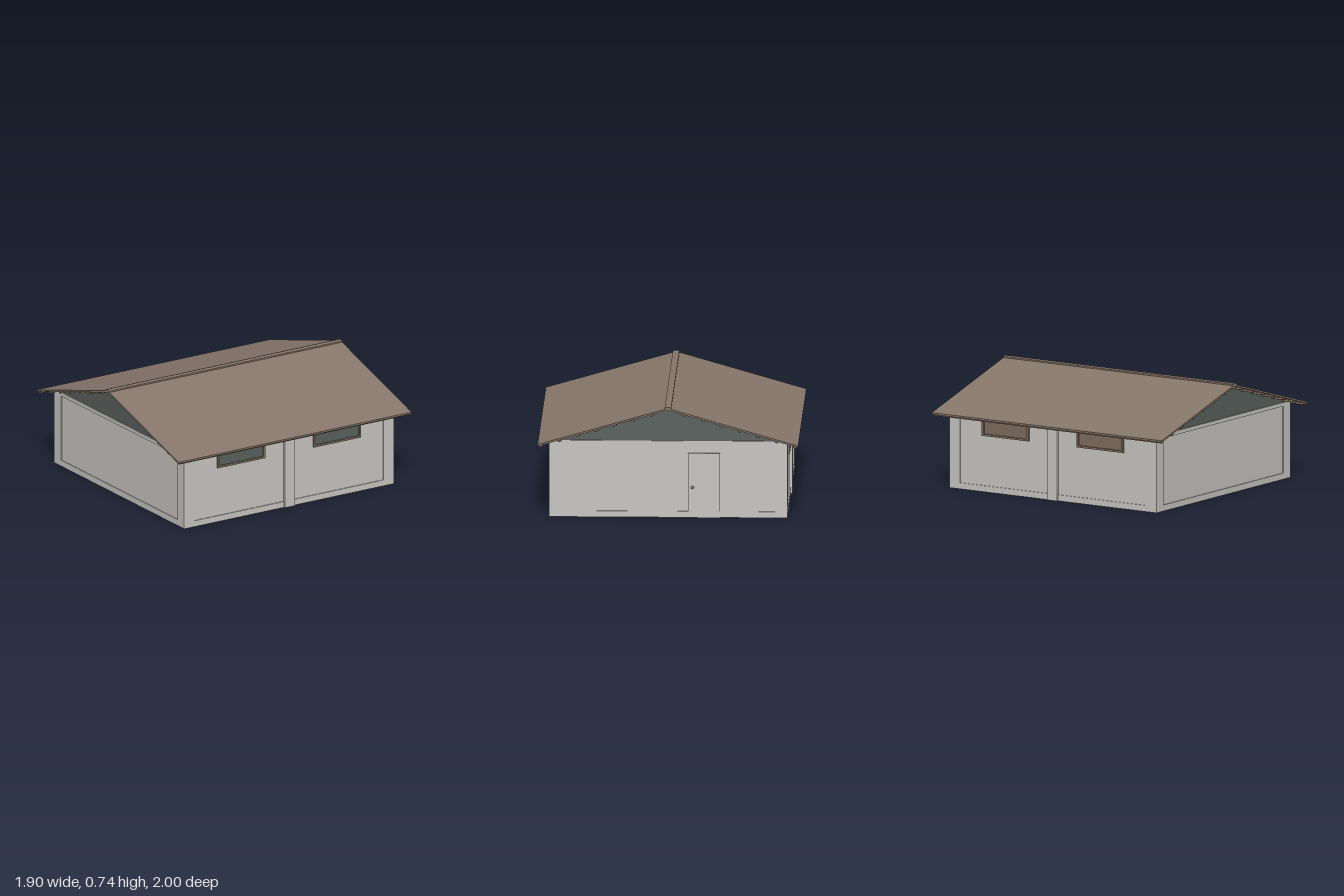
import * as THREE from 'three';

const mat = (name, color, side = THREE.FrontSide) => {
  const m = new THREE.MeshStandardMaterial({ color, side });
  m.name = name;
  return m;
};

export function createModel() {
  const root = new THREE.Group();
  const house = new THREE.Group();
  house.name = 'house';
  house.rotation.y = -0.143; // the building stands slightly turned
  root.add(house);

  const wallMat = mat('plaster', 0xc6c5c0);
  const roofMat = mat('roofBrown', 0x86766a);
  const woodMat = mat('timber', 0x7d6c5e);
  const gableMat = mat('gableGrey', 0x59605c);
  const glassMat = mat('windowGlass', 0x59605c);
  const metalMat = mat('handleMetal', 0x777774);

  const A = 0.763, B = 0.8, TOP = 0.5, STEP = 0.006; // half width, half depth, wall height, panel recess
  const SLOPE = 0.288, RIDGE = 0.73, W = 0.834, L = 0.889, T = 0.012;

  function add(name, geometry, material, parent = house) {
    const mesh = new THREE.Mesh(geometry, material);
    mesh.name = name;
    parent.add(mesh);
    return mesh;
  }
  function box(name, material, w, h, d, x, y, z, parent) {
    const mesh = add(name, new THREE.BoxGeometry(w, h, d), material, parent);
    mesh.position.set(x, y, z);
    return mesh;
  }
  // Plate in the xy plane with rectangular holes [x0, y0, x1, y1]
  function plate(outline, holes, depth) {
    const rect = (P, [x0, y0, x1, y1]) => {
      const p = new P();
      p.moveTo(x0, y0);
      p.lineTo(x1, y0);
      p.lineTo(x1, y1);
      p.lineTo(x0, y1);
      p.closePath();
      return p;
    };
    const shape = rect(THREE.Shape, outline);
    holes.forEach((h) => shape.holes.push(rect(THREE.Path, h)));
    return new THREE.ExtrudeGeometry(shape, { depth, bevelEnabled: false });
  }
  // Section in the xy plane, extruded evenly to both sides of z = 0
  function prism(points, half) {
    const shape = new THREE.Shape(points.map(([x, y]) => new THREE.Vector2(x, y)));
    const g = new THREE.ExtrudeGeometry(shape, { depth: half * 2, bevelEnabled: false });
    return g.translate(0, 0, -half);
  }

  // Wall core, with raised borders around sunken panels
  box('wallCore', wallMat, (A - STEP) * 2, TOP - 0.004, (B - STEP) * 2, 0, (TOP - 0.004) / 2, 0);
  for (const s of [1, -1]) {
    const end = new THREE.Group();
    end.name = s > 0 ? 'frontWall' : 'backWall';
    end.rotation.y = s > 0 ? 0 : Math.PI;
    house.add(end);
    add('wallBorder', plate([-A, 0, A, TOP], [[-0.683, 0.04, 0.683, 0.475]], STEP), wallMat, end)
      .position.z = B - STEP;

    // Side wall: local x runs along the house, local z points outward
    const side = new THREE.Group();
    side.name = s > 0 ? 'leftWall' : 'rightWall';
    side.rotation.y = s * Math.PI / 2;
    house.add(side);
    add('wallBorder', plate([-B, 0, B, TOP],
      [[-0.72, 0.04, -0.04, 0.478], [0.04, 0.04, 0.72, 0.478]], STEP), wallMat, side)
      .position.z = A - STEP;
    box('middlePost', wallMat, 0.076, TOP - 0.005, 0.012, 0, (TOP - 0.005) / 2, A + 0.004, side);

    // Two long high windows on each side
    for (const x of [-0.366, 0.366]) {
      add('windowFrame', plate([x - 0.18, 0.365, x + 0.18, 0.474],
        [[x - 0.167, 0.378, x + 0.167, 0.461]], 0.014), woodMat, side).position.z = A - STEP;
      box(s > 0 ? 'windowPane' : 'windowShutter', s > 0 ? glassMat : woodMat,
        0.336, 0.085, 0.004, x, 0.4195, A - STEP + 0.002, side);
    }
  }

  // Back door with round handle
  box('door', wallMat, 0.205, 0.42, 0.018, -0.23, 0.21, -B + 0.001);
  const knob = add('doorHandle', new THREE.SphereGeometry(0.01, 12, 8), metalMat);
  knob.position.set(-0.155, 0.2, -B - 0.014);

  // Gable infill under the roof
  const under = (x) => RIDGE - T - SLOPE * x;
  add('gables', prism([[-A + 0.005, 0.49], [A - 0.005, 0.49], [A - 0.005, under(A) + 0.004],
    [0, under(0) + 0.004], [-A + 0.005, under(A) + 0.004]], B - 0.01), gableMat);

  // Roof sheets
  const eave = RIDGE - SLOPE * W;
  add('roof', prism([[-W, eave - T], [0, RIDGE - T], [W, eave - T],
    [W, eave], [0, RIDGE], [-W, eave]], L), roofMat);

  // Ridge cap
  add('ridgeCap', prism([[-0.021, 0.72], [0.021, 0.72], [0.021, 0.733],
    [0, 0.738], [-0.021, 0.733]], L), roofMat);

  // Purlins running beneath the roof sheets
  for (const s of [1, -1]) {
    for (let i = 0; i < 7; i++) {
      const x = 0.105 + i * 0.118;
      const purlin = box('purlin', woodMat, 0.022, 0.014, L * 2 - 0.02, s * x, under(x) - 0.005, 0);
      purlin.rotation.z = -s * Math.atan(SLOPE);
    }
  }
  return root;
}
